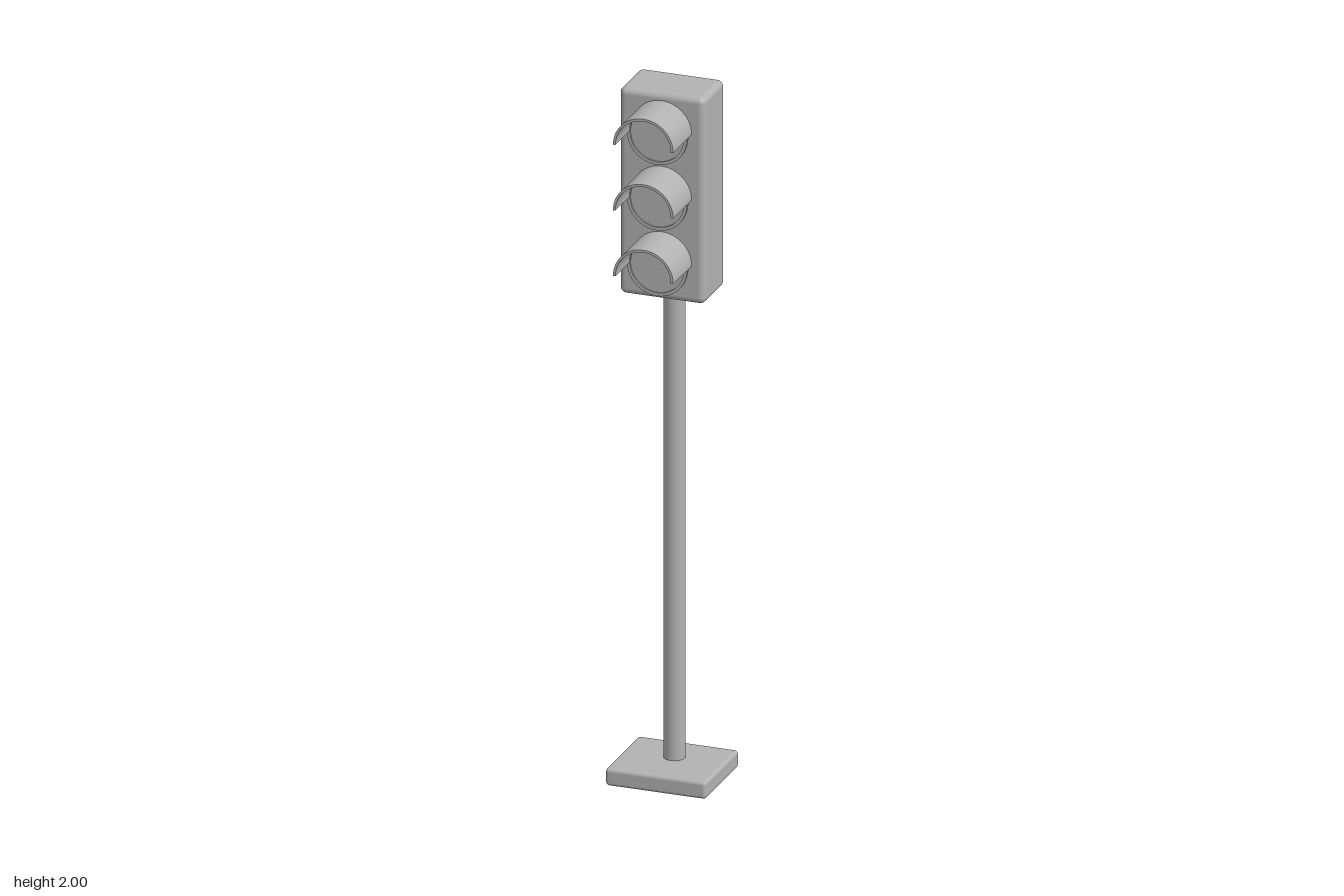
import * as THREE from 'three';
import { toCreasedNormals } from 'three/addons/utils/BufferGeometryUtils.js';
import { RoundedBoxGeometry } from 'three/addons/geometries/RoundedBoxGeometry.js';

export function createModel() {
  const group = new THREE.Group();
  const grey = new THREE.MeshStandardMaterial({ color: 0xb2b2b2 });
  grey.name = 'plain grey';

  const add = (name, geometry, x, y, z, parent = group) => {
    const mesh = new THREE.Mesh(geometry, grey);
    mesh.name = name;
    mesh.position.set(x, y, z);
    parent.add(mesh);
    return mesh;
  };

  // Annular band swept along z, between two angles
  const band = (outer, inner, start, end, depth) => {
    const shape = new THREE.Shape();
    shape.absarc(0, 0, outer, start, end, false);
    if (end - start < Math.PI * 1.9) {
      shape.absarc(0, 0, inner, end, start, true);
    } else {
      const hole = new THREE.Path();
      hole.absarc(0, 0, inner, 0, Math.PI * 2, true);
      shape.holes.push(hole);
    }
    const geometry = new THREE.ExtrudeGeometry(shape, { depth, bevelEnabled: false, curveSegments: 40 });
    return toCreasedNormals(geometry, 0.6);
  };

  // Foot plate, post and signal housing
  add('base', new RoundedBoxGeometry(0.287, 0.05, 0.252, 4, 0.01), 0, 0.025, -0.047);
  add('pole', new THREE.CylinderGeometry(0.03, 0.03, 1.38, 32), 0, 0.73, -0.066);
  add('housing', new RoundedBoxGeometry(0.244, 0.595, 0.157, 5, 0.018), 0, 1.7025, -0.0465);

  // Three lamps, each a lens with a rim and a half-round visor
  const lensGeometry = new THREE.CylinderGeometry(0.078, 0.078, 0.04, 40).rotateX(Math.PI / 2);
  const rimGeometry = band(0.086, 0.077, 0, Math.PI * 2, 0.008);
  const visorGeometry = band(0.086, 0.079, 0, Math.PI, 0.147);
  ['top', 'middle', 'bottom'].forEach((level, i) => {
    const lamp = new THREE.Group();
    lamp.name = level + 'Lamp';
    lamp.position.y = 1.893 - i * 0.189;
    add('lens', lensGeometry, 0, 0, 0.042, lamp);
    add('rim', rimGeometry, 0, 0, 0.059, lamp);
    add('visor', visorGeometry, 0, 0, 0.025, lamp);
    group.add(lamp);
  });

  return group;
}
